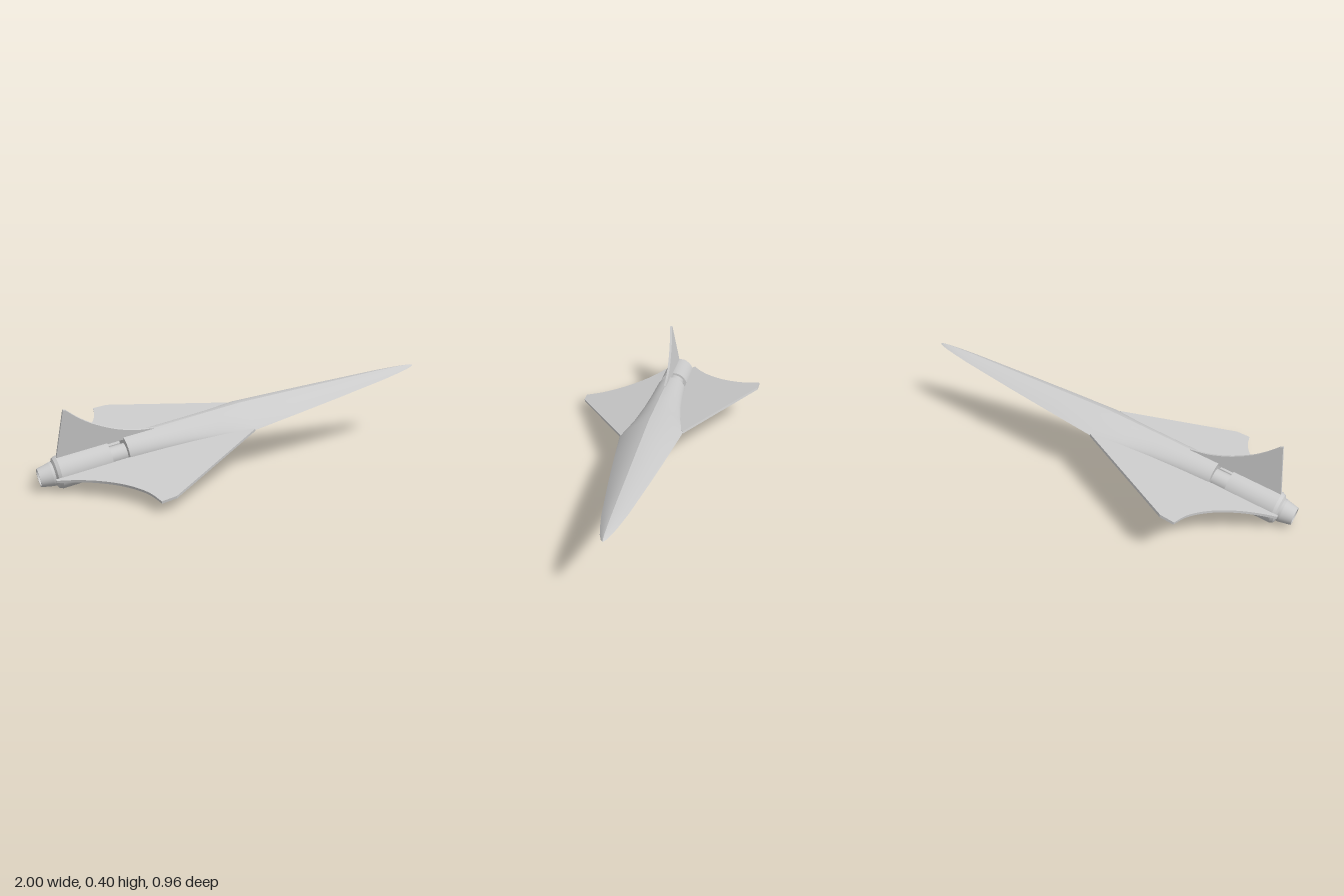
import * as THREE from 'three';
import { mergeGeometries } from 'three/addons/utils/BufferGeometryUtils.js';

const grey = new THREE.MeshStandardMaterial({ color: 0xcccccc, side: THREE.DoubleSide });

function part(name, geometry) {
  const mesh = new THREE.Mesh(geometry, grey);
  mesh.name = name;
  return mesh;
}

// Turned part along the x axis; profile is [x, radius], every corner kept sharp
function turned(name, profile) {
  const bands = [];
  for (let i = 0; i < profile.length - 1; i++) {
    const pts = [profile[i], profile[i + 1]].map(([x, r]) => new THREE.Vector2(r, x));
    bands.push(new THREE.LatheGeometry(pts, 48));
  }
  const geo = mergeGeometries(bands);
  geo.rotateZ(-Math.PI / 2);
  return part(name, geo);
}

// Fuselage stations: x, half width, height above chine, depth below chine, roundness
const stations = [
  [-0.60, 0.079, 0.076, 0.086, 1],
  [-0.45, 0.088, 0.076, 0.086, 0.8],
  [-0.30, 0.102, 0.077, 0.085, 0.55],
  [-0.15, 0.125, 0.077, 0.083, 0.25],
  [0.00, 0.160, 0.077, 0.081, 0],
  [0.25, 0.131, 0.062, 0.064, 0],
  [0.50, 0.100, 0.046, 0.048, 0],
  [0.80, 0.058, 0.028, 0.028, 0],
  [0.90, 0.039, 0.020, 0.019, 0],
  [0.96, 0.025, 0.014, 0.012, 0],
  [1.00, 0.011, 0.008, 0.006, 0],
  [1.014, 0.001, 0.001, 0.001, 0],
];

// One quarter of the fuselage skin, so chine, ridge and keel stay creased
function fuselageQuarter(sideSign, upSign) {
  const n = 14, pos = [], idx = [];
  for (const [x, w, top, bottom, round] of stations) {
    const h = upSign > 0 ? top : bottom;
    const bulge = upSign > 0 ? 0.5 : 0.2;
    for (let j = 0; j <= n; j++) {
      const a = (j / n) * Math.PI / 2, t = Math.cos(a);
      const lens = 1 - (1 - bulge) * t - bulge * t * t;
      const y = h * THREE.MathUtils.lerp(lens, Math.sin(a), round);
      pos.push(x, y * upSign, w * t * sideSign);
    }
  }
  for (let i = 0; i < stations.length - 1; i++) {
    for (let j = 0; j < n; j++) {
      const a = i * (n + 1) + j, b = a + 1, c = a + n + 1, d = c + 1;
      if (sideSign * upSign > 0) idx.push(a, c, b, b, c, d);
      else idx.push(a, b, c, b, d, c);
    }
  }
  // flat rear bulkhead
  const first = pos.length / 3;
  pos.push(stations[0][0], 0, 0);
  for (let j = 0; j <= n; j++) pos.push(...pos.slice(j * 3, j * 3 + 3));
  for (let j = 1; j <= n; j++) {
    if (sideSign * upSign > 0) idx.push(first, first + j, first + j + 1);
    else idx.push(first, first + j + 1, first + j);
  }
  const geo = new THREE.BufferGeometry();
  geo.setAttribute('position', new THREE.Float32BufferAttribute(pos, 3));
  geo.setIndex(idx);
  geo.computeVertexNormals();
  return geo;
}

// Thin flat wing with a straight leading edge and scooped trailing edge
function wing(sideSign) {
  const thick = 0.012;
  const p = (x, z) => new THREE.Vector2(x, z * sideSign);
  const shape = new THREE.Shape();
  shape.moveTo(-0.95, 0.074 * sideSign);
  shape.lineTo(-0.12, 0.074 * sideSign);
  shape.lineTo(0, 0.158 * sideSign);
  shape.lineTo(-0.535, 0.484 * sideSign);
  shape.lineTo(-0.605, 0.488 * sideSign);
  shape.splineThru([p(-0.625, 0.405), p(-0.663, 0.33), p(-0.72, 0.255),
    p(-0.80, 0.18), p(-0.88, 0.125), p(-0.95, 0.088)]);
  const geo = new THREE.ExtrudeGeometry(shape, { depth: thick, bevelEnabled: false, curveSegments: 36 });
  geo.rotateX(Math.PI / 2);
  geo.translate(0, thick / 2, 0);
  return geo;
}

// Tail fin with a concave leading edge
function fin() {
  const thick = 0.012;
  const shape = new THREE.Shape();
  shape.moveTo(-0.92, 0.065);
  shape.lineTo(-0.45, 0.065);
  shape.lineTo(-0.45, 0.078);
  shape.splineThru([[-0.54, 0.096], [-0.637, 0.134], [-0.73, 0.19], [-0.79, 0.24], [-0.835, 0.288]]
    .map(([x, y]) => new THREE.Vector2(x, y)));
  shape.lineTo(-0.848, 0.294);
  shape.closePath();
  const geo = new THREE.ExtrudeGeometry(shape, { depth: thick, bevelEnabled: false, curveSegments: 30 });
  geo.translate(0, 0, -thick / 2);
  return geo;
}

export function createModel() {
  const model = new THREE.Group();
  model.name = 'spacecraft';
  const craft = new THREE.Group();
  craft.name = 'airframe';
  model.add(craft);

  const quarters = [];
  for (const s of [1, -1]) for (const u of [1, -1]) quarters.push(fuselageQuarter(s, u));
  craft.add(part('fuselage', mergeGeometries(quarters)));
  craft.add(part('rightWing', wing(1)), part('leftWing', wing(-1)), part('tailFin', fin()));

  // Engine: open intake sleeve, core shaft across the gap, hollow nozzle
  const engine = new THREE.Group();
  engine.name = 'engine';
  engine.position.y = -0.006;
  engine.add(turned('engineSleeve', [
    [-0.945, 0.052], [-0.935, 0.070], [-0.92, 0.077], [-0.68, 0.077], [-0.68, 0.066], [-0.80, 0.066], [-0.80, 0.045],
  ]));
  engine.add(turned('engineCore', [[-0.93, 0.044], [-0.58, 0.044]]));
  engine.add(turned('nozzle', [
    [-0.93, 0.055], [-0.955, 0.055], [-1.012, 0.043], [-1.012, 0.037], [-0.95, 0.045], [-0.95, 0],
  ]));
  craft.add(engine);

  // Climbing, slightly banked attitude
  const forward = new THREE.Vector3(2, 0.33, 0.065).normalize();
  const side = new THREE.Vector3(0, -0.17, 0.985);
  const up = new THREE.Vector3().crossVectors(side, forward).normalize();
  side.crossVectors(forward, up);
  craft.quaternion.setFromRotationMatrix(new THREE.Matrix4().makeBasis(forward, up, side));
  craft.position.set(0, 0.236, 0.0125);
  return model;
}
